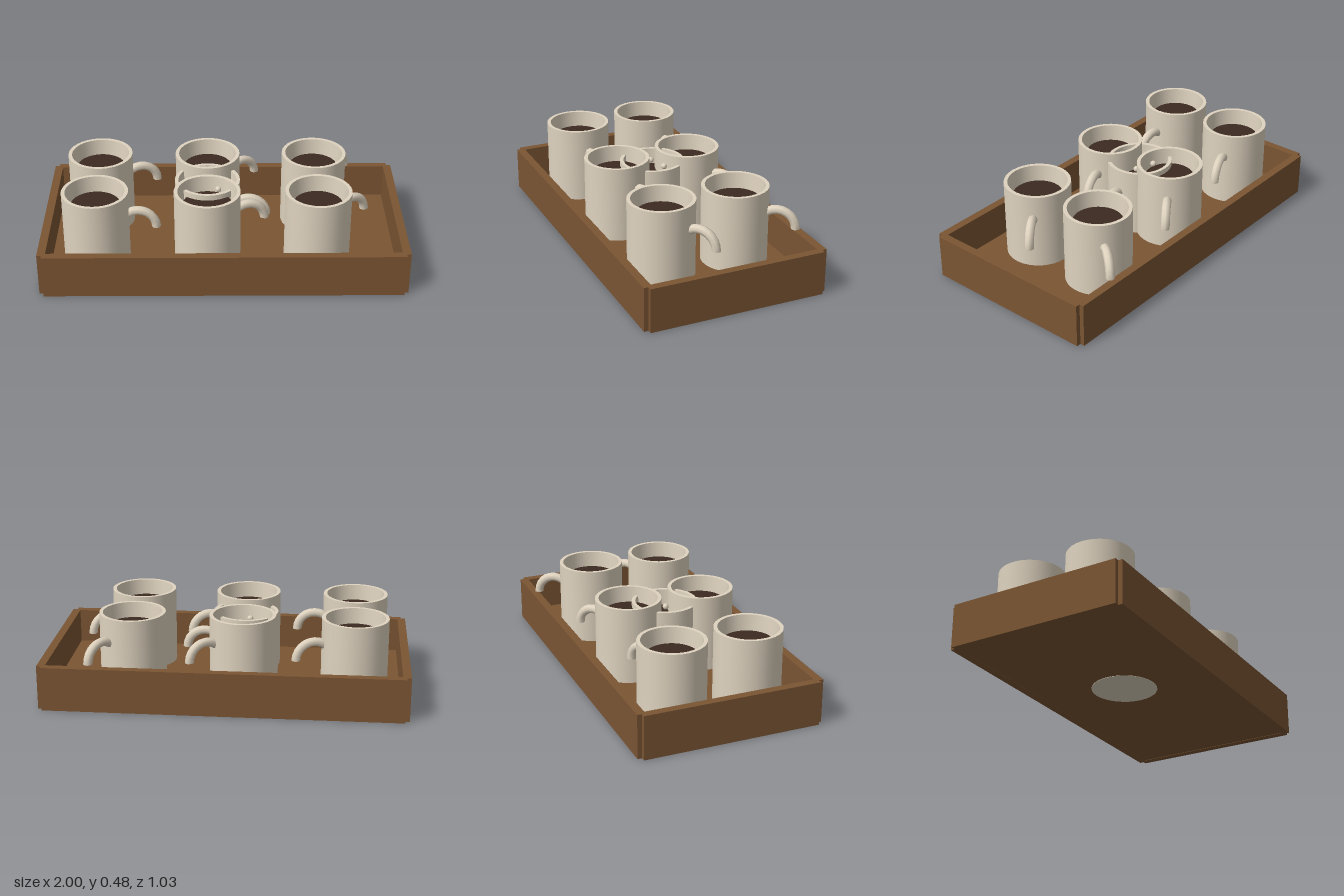
import * as THREE from 'three';
import { mergeGeometries } from 'three/addons/utils/BufferGeometryUtils.js';

const wood = new THREE.MeshStandardMaterial({ color: 0x7b5533, name: 'wood' });
const ceramic = new THREE.MeshStandardMaterial({ color: 0xdfd3bf, name: 'ceramic', side: THREE.DoubleSide });
const coffee = new THREE.MeshStandardMaterial({ color: 0x3b2a20, name: 'coffee' });

const MUG_HEIGHT = 0.43;

function addMesh(parent, name, geometry, material, x = 0, y = 0, z = 0) {
  const mesh = new THREE.Mesh(geometry, material);
  mesh.name = name;
  mesh.position.set(x, y, z);
  parent.add(mesh);
  return mesh;
}

// Mug wall turned one profile segment at a time, so the rim stays sharp
function mugBodyGeometry() {
  const profile = [
    [0, 0], [0.182, 0], [0.182, MUG_HEIGHT], [0.162, MUG_HEIGHT], [0.135, 0.04], [0, 0.04],
  ].map(([r, y]) => new THREE.Vector2(r, y));
  const bands = [];
  for (let i = 0; i < profile.length - 1; i++) {
    bands.push(new THREE.LatheGeometry([profile[i], profile[i + 1]], 32));
  }
  return mergeGeometries(bands);
}

function createTray() {
  const tray = new THREE.Group();
  tray.name = 'tray';
  const h = 0.245;
  addMesh(tray, 'trayFloor', new THREE.BoxGeometry(1.95, 0.048, 0.98), wood, 0, 0.026, 0);
  for (const side of [-1, 1]) {
    // Long walls, then end walls, leaving a small notch at each corner
    addMesh(tray, 'longWall', new THREE.BoxGeometry(1.95, h, 0.045), wood, 0, h / 2, side * 0.4925);
    addMesh(tray, 'endWall', new THREE.BoxGeometry(0.045, h, 0.98), wood, side * 0.9775, h / 2, 0);
  }
  return tray;
}

export function createModel() {
  const model = new THREE.Group();
  model.name = 'trayOfMugs';
  model.add(createTray());

  const bodyGeometry = mugBodyGeometry();
  const handleGeometry = new THREE.TorusGeometry(0.1, 0.025, 8, 12, Math.PI);
  const coffeeGeometry = new THREE.CylinderGeometry(0.135, 0.135, 0.02, 32);

  function addMug(x, y, z, turn) {
    const mug = new THREE.Group();
    mug.name = 'mug';
    mug.position.set(x, y, z);
    mug.rotation.y = turn;
    addMesh(mug, 'mugBody', bodyGeometry, ceramic);
    addMesh(mug, 'mugHandle', handleGeometry, ceramic, 0.23, 0.21, 0);
    addMesh(mug, 'coffeeSurface', coffeeGeometry, coffee, 0, 0.34, 0);
    model.add(mug);
  }

  // Two rows of three mugs, each turned a little further
  [-0.7, -0.09, 0.515].forEach((x, column) => {
    [0.215, -0.215].forEach((z, row) => addMug(x, 0.05, z, (column + row) * 0.3));
  });

  // Lower mug between the middle pair, with small beads near its rim
  addMug(-0.09, 0, 0, 0);
  const beadGeometry = new THREE.SphereGeometry(0.017, 12, 8);
  for (const [x, z] of [[-0.12, -0.075], [-0.13, -0.01], [-0.015, -0.04], [-0.03, 0.075]]) {
    addMesh(model, 'bead', beadGeometry, ceramic, x, 0.41, z);
  }
  return model;
}
